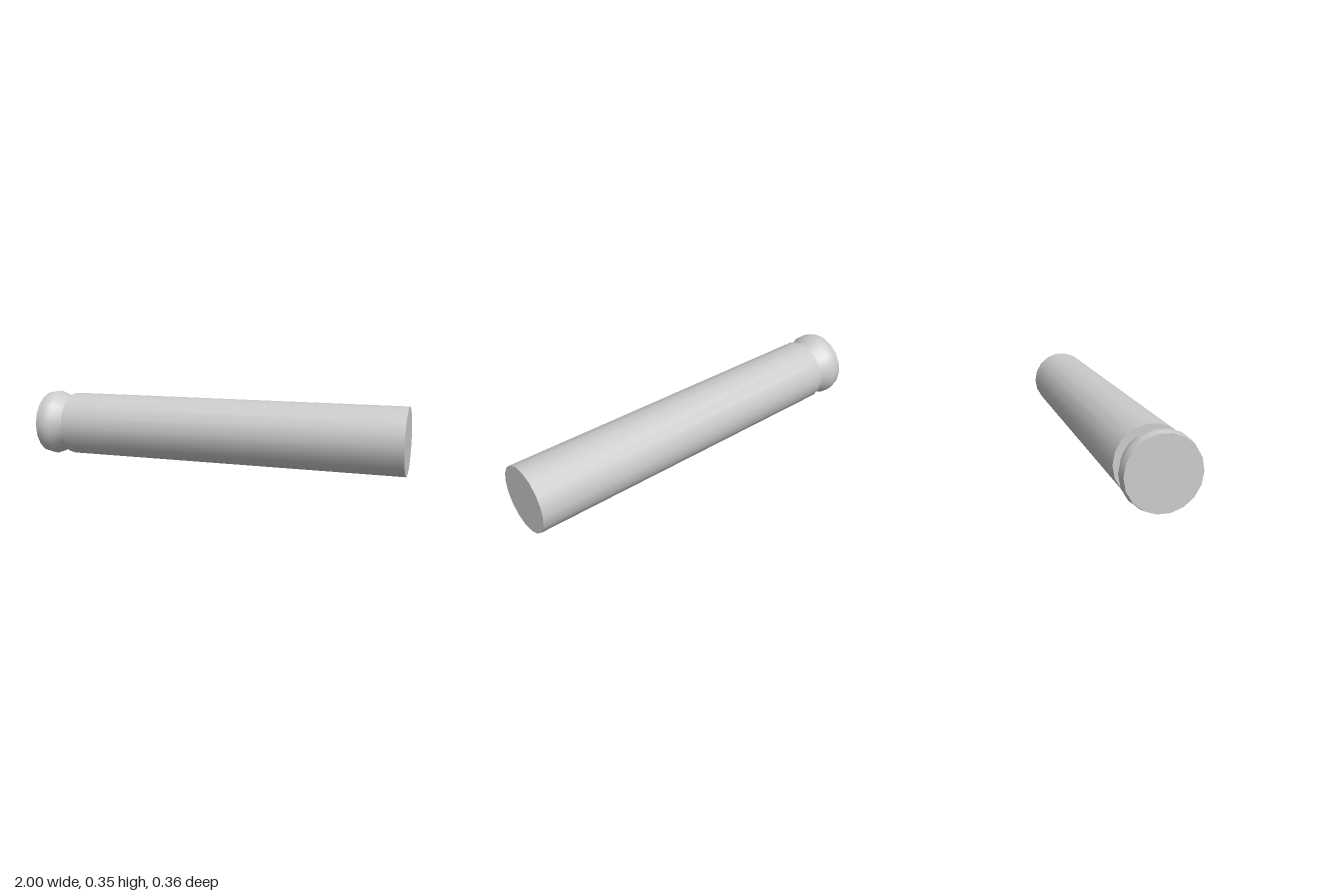
import * as THREE from 'three';

const SIDES = 18;
const CENTRE_Y = 0.177;
const material = new THREE.MeshStandardMaterial({ color: 0xcccccc });

// Turned solid along x from [x, radius] pairs; the end caps get hard edges.
function turned(name, profile) {
  const first = profile[0], last = profile[profile.length - 1];
  const points = [[first[0], 0], first, ...profile, last, [last[0], 0]]
    .map(([x, r]) => new THREE.Vector2(r, x));
  const mesh = new THREE.Mesh(new THREE.LatheGeometry(points, SIDES), material);
  mesh.name = name;
  mesh.rotation.z = -Math.PI / 2;
  mesh.position.y = CENTRE_Y;
  return mesh;
}

export function createModel() {
  const model = new THREE.Group();
  model.name = 'rod';

  // Long plain shaft
  model.add(turned('shaft', [[-0.84, 0.171], [1, 0.171]]));

  // Flared end knob with a narrow neck meeting the shaft
  model.add(turned('endKnob', [
    [-1, 0.172], [-0.975, 0.177], [-0.95, 0.179], [-0.925, 0.169],
    [-0.9, 0.155], [-0.87, 0.144], [-0.84, 0.135],
  ]));

  return model;
}
